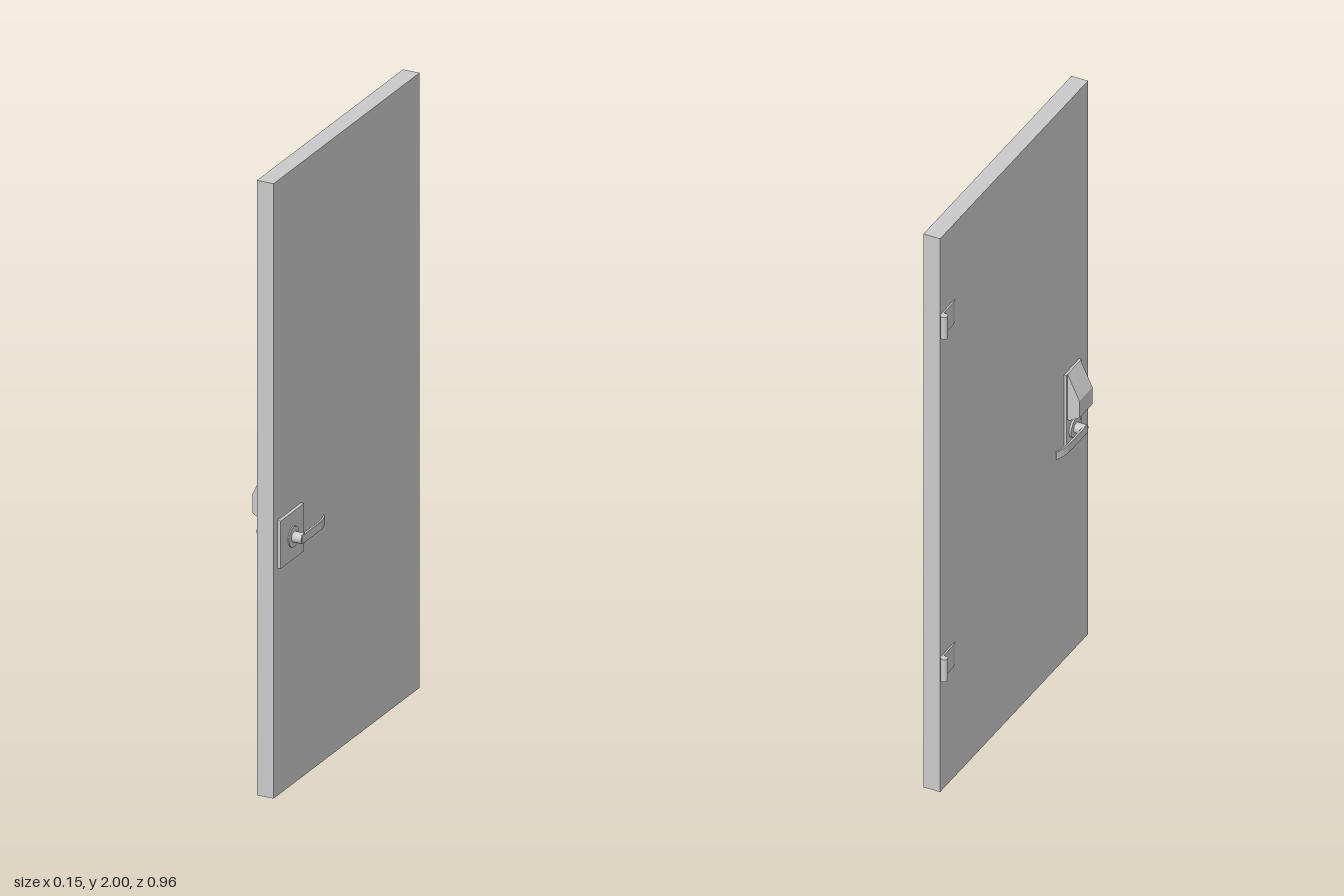
import * as THREE from 'three';

const material = new THREE.MeshStandardMaterial({ color: 0xcccccc });
const HALF = 0.028; // half the door thickness
const HANDLE_Y = 0.815;
const HANDLE_Z = 0.375;

function add(parent, name, geometry) {
  const mesh = new THREE.Mesh(geometry, material);
  mesh.name = name;
  parent.add(mesh);
  return mesh;
}

// Box given by its lower and upper corners
function block(parent, name, [x0, y0, z0], [x1, y1, z1]) {
  const mesh = add(parent, name, new THREE.BoxGeometry(x1 - x0, y1 - y0, z1 - z0));
  mesh.position.set((x0 + x1) / 2, (y0 + y1) / 2, (z0 + z1) / 2);
  return mesh;
}

// Cylinder lying along x at the handle centre
function disc(parent, name, radius, x0, x1) {
  const geometry = new THREE.CylinderGeometry(radius, radius, x1 - x0, 28);
  geometry.rotateZ(Math.PI / 2);
  add(parent, name, geometry).position.set((x0 + x1) / 2, HANDLE_Y, HANDLE_Z);
}

// Lever handle on the +x side: rose, spindle and a grip curving back to the door
function createLever() {
  const lever = new THREE.Group();
  lever.name = 'leverHandle';
  disc(lever, 'rose', 0.033, HALF, 0.043);
  disc(lever, 'spindle', 0.017, 0.043, 0.075);

  const outline = new THREE.Shape();
  outline.moveTo(0.069, -0.385);
  outline.lineTo(0.076, -0.385);
  outline.lineTo(0.076, -0.265);
  outline.quadraticCurveTo(0.075, -0.24, 0.062, -0.212);
  outline.lineTo(0.058, -0.214);
  outline.quadraticCurveTo(0.069, -0.24, 0.07, -0.265);
  outline.closePath();
  const grip = new THREE.ExtrudeGeometry(outline, {
    depth: 0.024, curveSegments: 10,
    bevelEnabled: true, bevelSize: 0.001, bevelThickness: 0.002, bevelSegments: 2,
  });
  grip.translate(0, 0, -0.012);
  grip.rotateX(-Math.PI / 2);
  add(lever, 'grip', grip).position.y = HANDLE_Y;
  return lever;
}

// Hinge: rounded knuckle and a leaf that tapers onto the door face
function createHinge(y) {
  const hinge = new THREE.Group();
  hinge.name = 'hinge';
  const height = 0.08;
  const knuckle = new THREE.CylinderGeometry(0.0115, 0.0115, height, 20);
  add(hinge, 'hingeKnuckle', knuckle).position.set(-0.04, 0, -0.4685);

  const profile = new THREE.Shape();
  profile.moveTo(-0.027, 0.47);
  profile.lineTo(-0.034, 0.47);
  profile.lineTo(-0.033, 0.4);
  profile.quadraticCurveTo(-0.032, 0.385, -0.028, 0.375);
  profile.lineTo(-0.027, 0.375);
  profile.closePath();
  const leaf = new THREE.ExtrudeGeometry(profile, { depth: height, bevelEnabled: false });
  leaf.translate(0, 0, -height / 2);
  leaf.rotateX(-Math.PI / 2);
  add(hinge, 'hingeLeaf', leaf);
  hinge.position.y = y;
  return hinge;
}

export function createModel() {
  const model = new THREE.Group();
  model.name = 'door';

  block(model, 'doorPanel', [-HALF, 0, -0.472], [HALF, 2, 0.48]);

  // Inner side: square plate and lever
  block(model, 'squarePlate', [HALF, 0.74, 0.302], [0.039, 0.895, 0.455]);
  model.add(createLever());

  // Outer side: mirrored lever, tall plate and sloped lock housing
  const outerLever = createLever();
  outerLever.name = 'outerLeverHandle';
  outerLever.scale.x = -1;
  model.add(outerLever);
  block(model, 'lockPlate', [-0.036, 0.748, 0.325], [-HALF, 1.03, 0.423]);

  const side = new THREE.Shape([
    [-0.028, 1.03], [-0.036, 1.03], [-0.076, 0.945], [-0.076, 0.885], [-0.044, 0.865], [-0.028, 0.865],
  ].map(([x, y]) => new THREE.Vector2(x, y)));
  const housing = new THREE.ExtrudeGeometry(side, { depth: 0.084, bevelEnabled: false });
  add(model, 'lockHousing', housing).position.z = 0.333;

  for (const y of [1.685, 0.447]) model.add(createHinge(y));
  return model;
}
